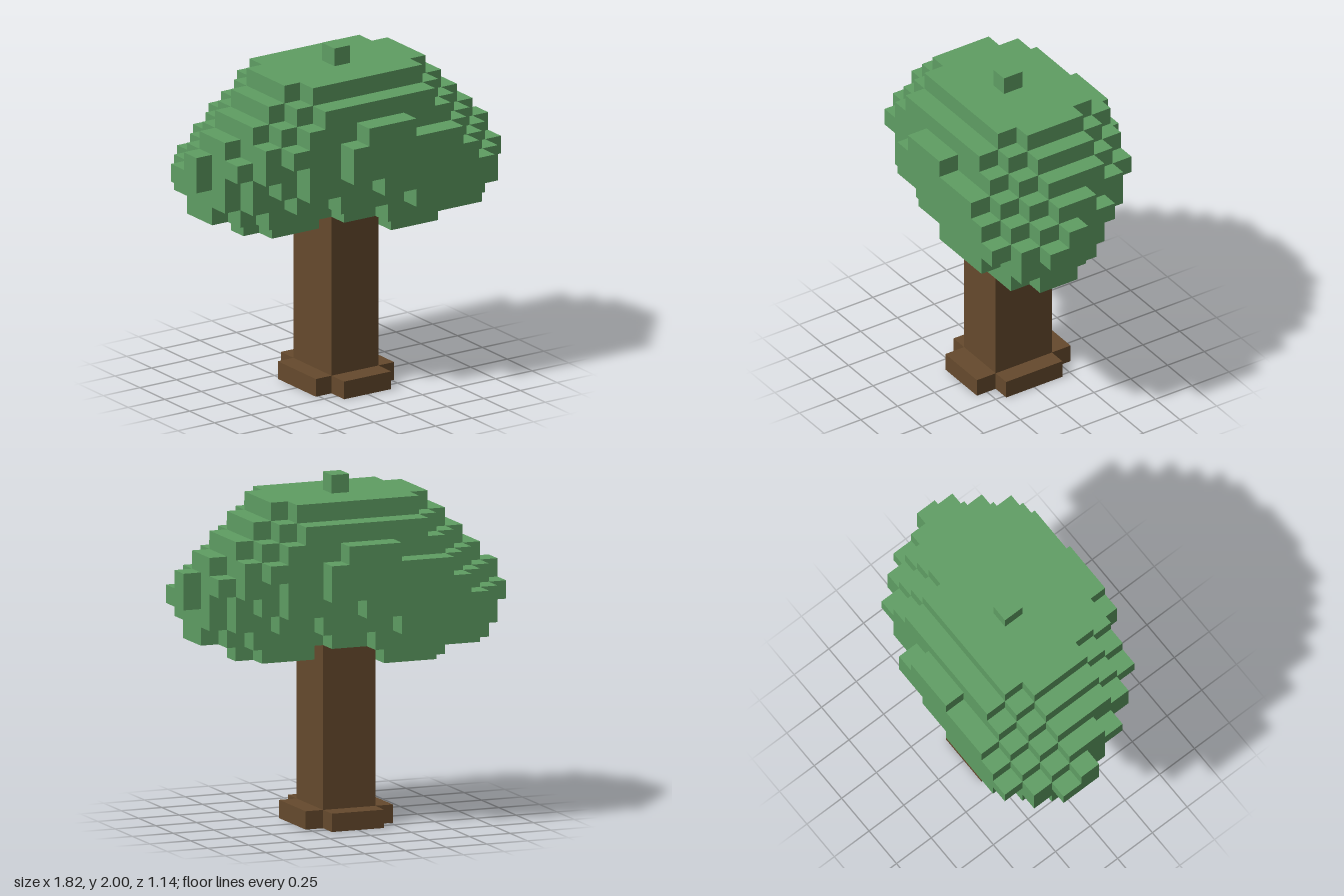
import * as THREE from 'three';

// Block grid: 17 columns (x), 19 layers (y), 9 rows (z)
const NX = 17, NY = 19, NZ = 9;
const SIZE = [1.82 / NX, 2 / NY, 1.145 / NZ];

// Crown, per layer from the bottom: column spans [from, to) for rows 4..8.
// Rows 0..3 follow by a half turn about the vertical axis.
const CROWN_BASE = 9;
const CROWN = [
  [[10, 13], [10, 14], [10, 13]],
  [[2, 15], [3, 16], [7, 16], [9, 15]],
  [[1, 16], [2, 16], [4, 16], [6, 16], [10, 14]],
  [[1, 16], [2, 17], [3, 17], [4, 16], [8, 15]],
  [[1, 16], [1, 17], [2, 16], [4, 15], [6, 14]],
  [[1, 16], [2, 16], [2, 15], [3, 14], [6, 13]],
  [[2, 15], [2, 15], [3, 14], [4, 13], [7, 10]],
  [[3, 14], [3, 14], [4, 13], [5, 12]],
  [[4, 13], [4, 13], [5, 12]],
  [[8, 9]],
];

const key = (x, y, z) => `${x},${y},${z}`;

// Fill a box of blocks; upper bounds are exclusive
function fill(cells, part, x0, x1, y0, y1, z0, z1) {
  for (let x = x0; x < x1; x++)
    for (let y = y0; y < y1; y++)
      for (let z = z0; z < z1; z++) cells.set(key(x, y, z), { part, pos: [x, y, z] });
}

// Outer skin of one part: a quad wherever a block borders an empty cell
function skin(cells, part) {
  const pos = [], index = [];
  const half = [NX / 2, 0, NZ / 2];
  for (const cell of cells.values()) {
    if (cell.part !== part) continue;
    for (let axis = 0; axis < 3; axis++) {
      for (const side of [0, 1]) {
        const next = [...cell.pos];
        next[axis] += side ? 1 : -1;
        if (cells.has(key(...next))) continue;
        const u = (axis + 1) % 3, v = (axis + 2) % 3;
        const start = pos.length / 3;
        for (const [a, b] of [[0, 0], [1, 0], [1, 1], [0, 1]]) {
          const p = [...cell.pos];
          p[axis] += side;
          p[u] += a;
          p[v] += b;
          pos.push(...p.map((c, i) => (c - half[i]) * SIZE[i]));
        }
        const order = side ? [0, 1, 2, 0, 2, 3] : [0, 2, 1, 0, 3, 2];
        index.push(...order.map((i) => start + i));
      }
    }
  }
  const geometry = new THREE.BufferGeometry();
  geometry.setAttribute('position', new THREE.Float32BufferAttribute(pos, 3));
  geometry.setIndex(index);
  geometry.computeVertexNormals();
  return geometry;
}

export function createModel() {
  const leafGreen = new THREE.MeshStandardMaterial({ color: 0x5f9e63 });
  leafGreen.name = 'leafGreen';
  const barkBrown = new THREE.MeshStandardMaterial({ color: 0x664a2d });
  barkBrown.name = 'barkBrown';

  const cells = new Map();

  // Crown with a gentle twist from layer to layer
  CROWN.forEach((rows, layer) => {
    const y = CROWN_BASE + layer;
    rows.forEach(([from, to], i) => {
      fill(cells, 'crown', from, to, y, y + 1, 4 + i, 5 + i);
      fill(cells, 'crown', NX - to, NX - from, y, y + 1, 4 - i, 5 - i);
    });
  });

  // Trunk, and roots as a cross-shaped foot
  fill(cells, 'trunk', 7, 10, 0, 10, 3, 6);
  fill(cells, 'roots', 6, 7, 0, 1, 3, 6);
  fill(cells, 'roots', 10, 11, 0, 1, 3, 6);
  fill(cells, 'roots', 7, 10, 0, 1, 2, 3);
  fill(cells, 'roots', 7, 10, 0, 1, 6, 7);

  const tree = new THREE.Group();
  tree.name = 'tree';
  for (const [part, material] of [['crown', leafGreen], ['trunk', barkBrown], ['roots', barkBrown]]) {
    const mesh = new THREE.Mesh(skin(cells, part), material);
    mesh.name = part;
    tree.add(mesh);
  }
  return tree;
}
